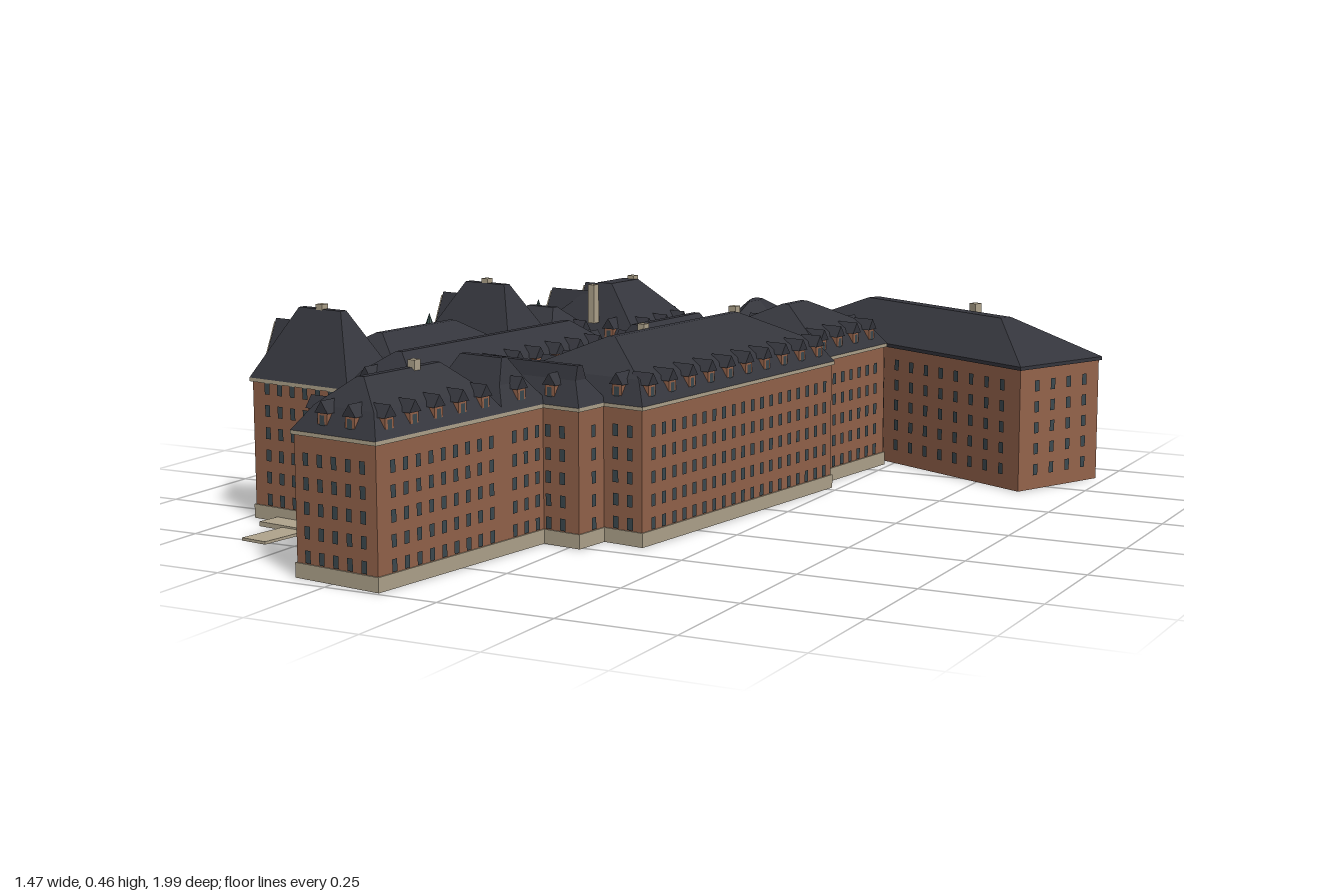
import * as THREE from 'three';
import { mergeGeometries } from 'three/addons/utils/BufferGeometryUtils.js';

const paint = (color, side = THREE.FrontSide) =>
  new THREE.MeshStandardMaterial({ color, flatShading: true, side });
const BRICK = paint(0x94634b), ROOF = paint(0x34353c), STONE = paint(0xb0a48c);
const GLASS = paint(0x3c494f, THREE.DoubleSide), COPPER = paint(0x24403c);

function mesh(parent, name, geometry, material) {
  const m = new THREE.Mesh(geometry, material);
  m.name = name;
  parent.add(m);
  return m;
}

function merged(parent, name, list, material) {
  if (list.length) mesh(parent, name, mergeGeometries(list.map(clean)), material);
}

function clean(g) {
  const n = g.index ? g.toNonIndexed() : g;
  n.deleteAttribute('uv');
  return n;
}

// Box given by its extents
function slab(u0, u1, y0, y1, v0, v1) {
  return new THREE.BoxGeometry(u1 - u0, y1 - y0, v1 - v0)
    .translate((u0 + u1) / 2, (y0 + y1) / 2, (v0 + v1) / 2);
}

// Skin over a stack of rings, closed on top
function loft(rings) {
  const p = [], n = rings[0].length;
  for (let r = 0; r < rings.length - 1; r++)
    for (let i = 0; i < n; i++) {
      const j = (i + 1) % n, a = rings[r], b = rings[r + 1];
      p.push(...a[i], ...a[j], ...b[j], ...a[i], ...b[j], ...b[i]);
    }
  const top = rings[rings.length - 1];
  for (let i = 1; i < n - 1; i++) p.push(...top[0], ...top[i], ...top[i + 1]);
  const g = new THREE.BufferGeometry();
  g.setAttribute('position', new THREE.Float32BufferAttribute(p, 3));
  g.computeVertexNormals();
  return g;
}

const rect = (b, y, iu, iv) => [
  [b.u0 + iu, y, b.v1 - iv], [b.u1 - iu, y, b.v1 - iv],
  [b.u1 - iu, y, b.v0 + iv], [b.u0 + iu, y, b.v0 + iv]];

// Triangular prism facing +z, its front at z = 0
function prism(w, y0, y1, depth) {
  const s = new THREE.Shape([
    new THREE.Vector2(-w / 2, y0), new THREE.Vector2(w / 2, y0), new THREE.Vector2(0, y1)]);
  return new THREE.ExtrudeGeometry(s, { depth, bevelEnabled: false }).translate(0, 0, -depth);
}

function sides(b) {
  const cu = (b.u0 + b.u1) / 2, cv = (b.v0 + b.v1) / 2, w = b.u1 - b.u0, d = b.v1 - b.v0;
  return [
    { x: cu, z: b.v1, a: 0, len: w }, { x: b.u1, z: cv, a: Math.PI / 2, len: d },
    { x: cu, z: b.v0, a: Math.PI, len: w }, { x: b.u0, z: cv, a: -Math.PI / 2, len: d }];
}

// One block: walls, plinth, cornice, roof, windows and dormers
function buildBlock(parent, b, all) {
  const g = new THREE.Group();
  g.name = b.name;
  parent.add(g);
  const { u0, u1, v0, v1, eave, ridge } = b;
  mesh(g, 'walls', slab(u0, u1, 0, eave, v0, v1), BRICK);
  if (!b.plain) mesh(g, 'plinth', slab(u0 - .003, u1 + .003, 0, .03, v0 - .003, v1 + .003), STONE);
  mesh(g, 'cornice', slab(u0 - .005, u1 + .005, eave - .008, eave, v0 - .005, v1 + .005), b.plain ? ROOF : STONE);

  // Roof: steep lower slope, then a hip; or one straight slope
  const hu = (u1 - u0) / 2 - .008, hv = (v1 - v0) / 2 - .008, m = Math.min(hu, hv);
  const iu = b.iu ?? (hu > hv ? Math.min(hu, m * .8) : hu);
  const iv = b.iv ?? (hv > hu ? Math.min(hv, m * .8) : hv);
  const rings = [rect(b, eave, -.005, -.005)];
  if (!b.plain && !b.steep) rings.push(rect(b, eave + .048, .028, .028));
  rings.push(rect(b, ridge, iu, iv));
  mesh(g, 'roof', loft(rings), ROOF);

  const windows = [], bodies = [], caps = [], panes = [];
  const pitch = b.plain ? .05 : .036;
  for (const s of sides(b)) {
    const place = (geo, t, out) => geo.translate(t, 0, out).rotateY(s.a).translate(s.x, 0, s.z);
    const free = (t) => {
      const x = s.x + Math.cos(s.a) * t + Math.sin(s.a) * .012;
      const z = s.z - Math.sin(s.a) * t + Math.cos(s.a) * .012;
      return !all.some((o) => o !== b && x > o.u0 && x < o.u1 && z > o.v0 && z < o.v1);
    };
    const n = Math.max(1, Math.floor((s.len - .02) / pitch));
    for (let i = 0; i < n; i++) {
      const t = (i - (n - 1) / 2) * pitch;
      if (!free(t)) continue;
      for (let y = .045; y < eave - .015; y += .0475)
        windows.push(place(new THREE.PlaneGeometry(.014, .025).translate(0, y, 0), t, .0035));
    }
    if (b.plain || b.steep) continue;
    const k = Math.floor((s.len - .03) / .068);
    for (let i = 0; i < k; i++) {
      const t = (i - (k - 1) / 2) * .07;
      if (!free(t)) continue;
      bodies.push(place(slab(-.012, .012, eave, eave + .04, -.034, 0), t, -.006));
      caps.push(place(prism(.034, eave + .038, eave + .062, .05), t, -.003));
      panes.push(place(new THREE.PlaneGeometry(.012, .024).translate(0, eave + .022, 0), t, -.005));
    }
  }
  merged(g, 'windows', windows, GLASS);
  merged(g, 'dormers', bodies, BRICK);
  merged(g, 'dormerRoofs', caps, ROOF);
  merged(g, 'dormerWindows', panes, GLASS);
}

const block = (name, u0, u1, v0, v1, eave, ridge, more = {}) => ({ name, u0, u1, v0, v1, eave, ridge, ...more });
const BLOCKS = [
  block('eastMainBlock', -.154, .19, -.3, .417, .288, .4),
  block('northBlock', -.15, .15, -.597, -.29, .288, .39),
  block('southStep', -.2, .094, .41, .5, .288, .365),
  block('southLink', -.203, .004, .49, .63, .288, .385),
  block('southWing', -.203, .004, .625, .998, .288, .39),
  block('middleWing', -.385, -.197, -.03, .667, .292, .38),
  block('westWing', -.585, -.375, .13, .525, .298, .385),
  block('southPavilion', -.643, -.375, .515, .664, .302, .45, { steep: true, iu: .075, iv: .066 }),
  block('northPavilion', -.637, -.375, -.03, .14, .302, .45, { steep: true, iu: .075, iv: .076 }),
  block('northWestBlock', -.575, -.285, -.475, -.2, .288, .42, { iu: .125, iv: .085 }),
  block('westLink', -.585, -.38, -.205, -.025, .288, .38),
  block('courtWing', -.27, -.15, -.39, -.062, .28, .36),
];

// Stone gable with its own roof on the west face
function gable(parent, u, v, w, top) {
  const g = new THREE.Group();
  g.name = 'gable';
  mesh(g, 'gableWall', slab(-w / 2, w / 2, .03, .32, -.05, .006), BRICK);
  mesh(g, 'gableFace', prism(w, .32, top - .008, .02).translate(0, 0, .006), STONE);
  mesh(g, 'gableRoof', prism(w + .016, .312, top, .12), ROOF);
  const panes = [];
  for (let y = .0925; y < .35; y += .0475)
    for (const x of y < .32 ? [-w / 4, w / 4] : [0])
      panes.push(new THREE.PlaneGeometry(.013, .025).translate(x, y, .0075));
  merged(g, 'gableWindows', panes, GLASS);
  g.position.set(u, 0, v);
  g.rotation.y = -Math.PI / 2;
  parent.add(g);
}

function buildArcade(parent) {
  const g = new THREE.Group();
  g.name = 'arcade';
  const v0 = .14, v1 = .515, h = .065, n = 7, step = (v1 - v0) / n;
  const s = new THREE.Shape([[v0, 0], [v1, 0], [v1, h], [v0, h]].map((p) => new THREE.Vector2(...p)));
  for (let i = 0; i < n; i++) {
    const c = v0 + (i + .5) * step, r = step * .36, hole = new THREE.Path();
    hole.moveTo(c - r, .006);
    hole.lineTo(c + r, .006);
    hole.lineTo(c + r, .033);
    hole.absarc(c, .033, r, 0, Math.PI, false);
    s.holes.push(hole);
  }
  const wall = new THREE.ExtrudeGeometry(s, { depth: .01, bevelEnabled: false, curveSegments: 6 });
  mesh(g, 'arches', wall.rotateY(-Math.PI / 2).translate(-.632, 0, 0), STONE);
  mesh(g, 'terrace', slab(-.645, -.58, h, h + .006, v0, v1), STONE);
  parent.add(g);
}

export function createModel() {
  const model = new THREE.Group();
  model.name = 'brickCampus';
  const campus = new THREE.Group();
  campus.name = 'mainWings';
  campus.rotation.y = -.1396;
  model.add(campus);
  for (const b of BLOCKS) buildBlock(campus, b, BLOCKS);

  // West front: gables, corner turrets and arcade
  gable(campus, -.643, .59, .075, .42);
  gable(campus, -.637, .055, .075, .42);
  for (const v of [-.4, -.27]) gable(campus, -.575, v, .07, .4);
  for (const [u, v] of [[-.562, -.468], [-.565, -.203], [-.62, .125], [-.625, .508]]) {
    mesh(campus, 'turret', new THREE.CylinderGeometry(.019, .019, .31, 8).translate(u, .155, v), BRICK);
    mesh(campus, 'turretRoof', new THREE.ConeGeometry(.024, .07, 8).translate(u, .345, v), COPPER);
  }
  buildArcade(campus);

  // Low steps, and the narrow terrace between the wings
  mesh(campus, 'frontTerrace', slab(-.58, -.385, 0, .01, .66, .72), STONE);
  mesh(campus, 'frontSteps', slab(-.515, -.45, 0, .006, .72, .836), STONE);
  mesh(campus, 'westStep', slab(-.612, -.57, 0, .01, -.395, -.27), STONE);
  mesh(campus, 'innerTerrace', slab(-.2, -.15, .03, .05, -.065, .415), STONE);

  // Chimneys
  for (const [u, v, y] of [[.004, -.187, .41], [.002, .154, .41], [-.093, .777, .405],
    [-.425, -.389, .428], [-.411, -.215, .425], [-.51, .59, .46], [-.507, .055, .46]])
    mesh(campus, 'chimney', slab(u - .009, u + .009, y - .09, y, v - .009, v + .009), STONE);

  // Diagonal building at the north
  const diagonal = new THREE.Group();
  diagonal.name = 'diagonalBuilding';
  diagonal.position.set(.31, 0, -.707);
  diagonal.rotation.y = -.447;
  const hall = block('hall', -.403, .403, -.124, .124, .282, .362, { plain: true, iu: .175, iv: .108 });
  buildBlock(diagonal, hall, [hall]);
  mesh(diagonal, 'chimney', slab(.04, .06, .34, .37, -.085, -.065), STONE);
  model.add(diagonal);

  // Bent annex and flat-roofed corner joining it to the main wings
  const ring = (pts, y, k = 1) => pts.map(([x, z]) => [-.14 + (x + .14) * k, y, -.65 + (z + .65) * k]);
  const annex = [[-.11, -.42], [-.06, -.6], [-.11, -.78], [-.2, -.79], [-.21, -.69], [-.18, -.66], [-.19, -.6]];
  mesh(model, 'annexWalls', loft([ring(annex, 0), ring(annex, .28)]), BRICK);
  mesh(model, 'annexRoof', loft([ring(annex, .28, 1.04), ring(annex, .335, .65), ring(annex, .36, .2)]), ROOF);
  const corner = [[-.07, -.6], [.22, -.56], [-.11, -.78]];
  mesh(model, 'cornerWalls', loft([ring(corner, 0), ring(corner, .27)]), BRICK);
  mesh(model, 'cornerRoof', loft([ring(corner, .27), ring(corner, .28)]), STONE);
  for (const pts of [annex, corner])
    mesh(model, 'floor', loft([ring([...pts].reverse(), 0), ring([...pts].reverse(), 0)]), STONE);
  return model;
}
